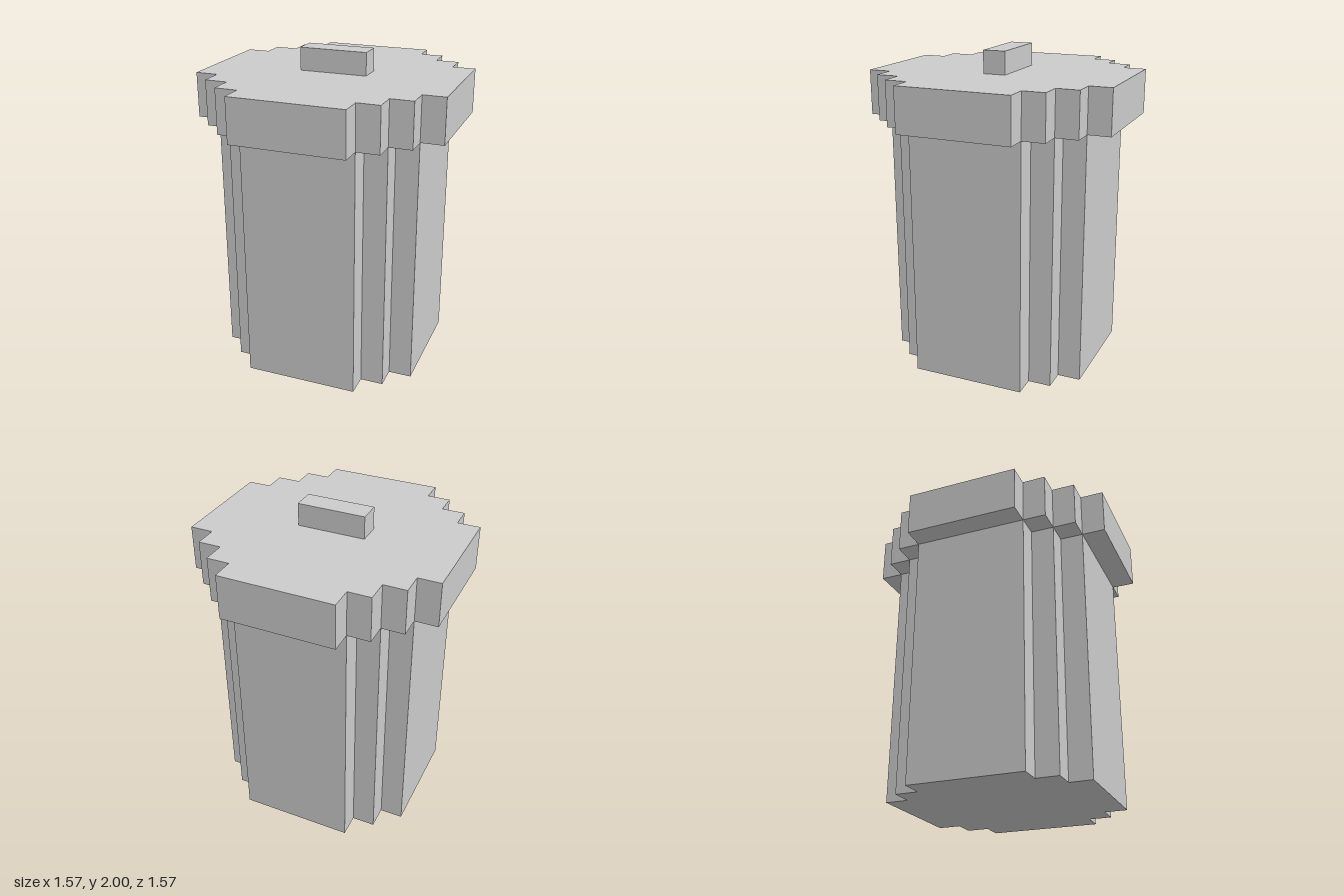
import * as THREE from 'three';

const U = 1 / 7; // size of one block

// Round outline made of square steps, from the half-width inwards (in blocks)
function steppedOutline(outer, inner) {
  const quarter = [];
  for (let x = outer, y = inner; x >= inner; x--, y++) {
    quarter.push([x, y]);
    if (x > inner) quarter.push([x - 1, y]);
  }
  const points = [];
  for (let q = 0; q < 4; q++) {
    const c = [1, 0, -1, 0][q], s = [0, 1, 0, -1][q];
    for (const [x, y] of quarter) {
      points.push(new THREE.Vector2((x * c - y * s) * U, (x * s + y * c) * U));
    }
  }
  return new THREE.Shape(points);
}

export function createModel() {
  const group = new THREE.Group();
  const material = new THREE.MeshStandardMaterial({ color: 0xcccccc, flatShading: true });

  function add(name, geometry) {
    const mesh = new THREE.Mesh(geometry, material);
    mesh.name = name;
    group.add(mesh);
  }

  // Upright slab with a stepped outline
  function slab(outer, bottom, top) {
    return new THREE.ExtrudeGeometry(steppedOutline(outer, 2.5), { depth: top - bottom, bevelEnabled: false })
      .rotateX(-Math.PI / 2)
      .translate(0, bottom, 0);
  }

  const lidBottom = 1.577, lidTop = 13 * U;
  add('body', slab(4.5, 0, lidBottom));
  add('lid', slab(5.5, lidBottom, lidTop));
  add('lidHandle', new THREE.BoxGeometry(3 * U, U, U).translate(0, lidTop + U / 2, 0));

  return group;
}
